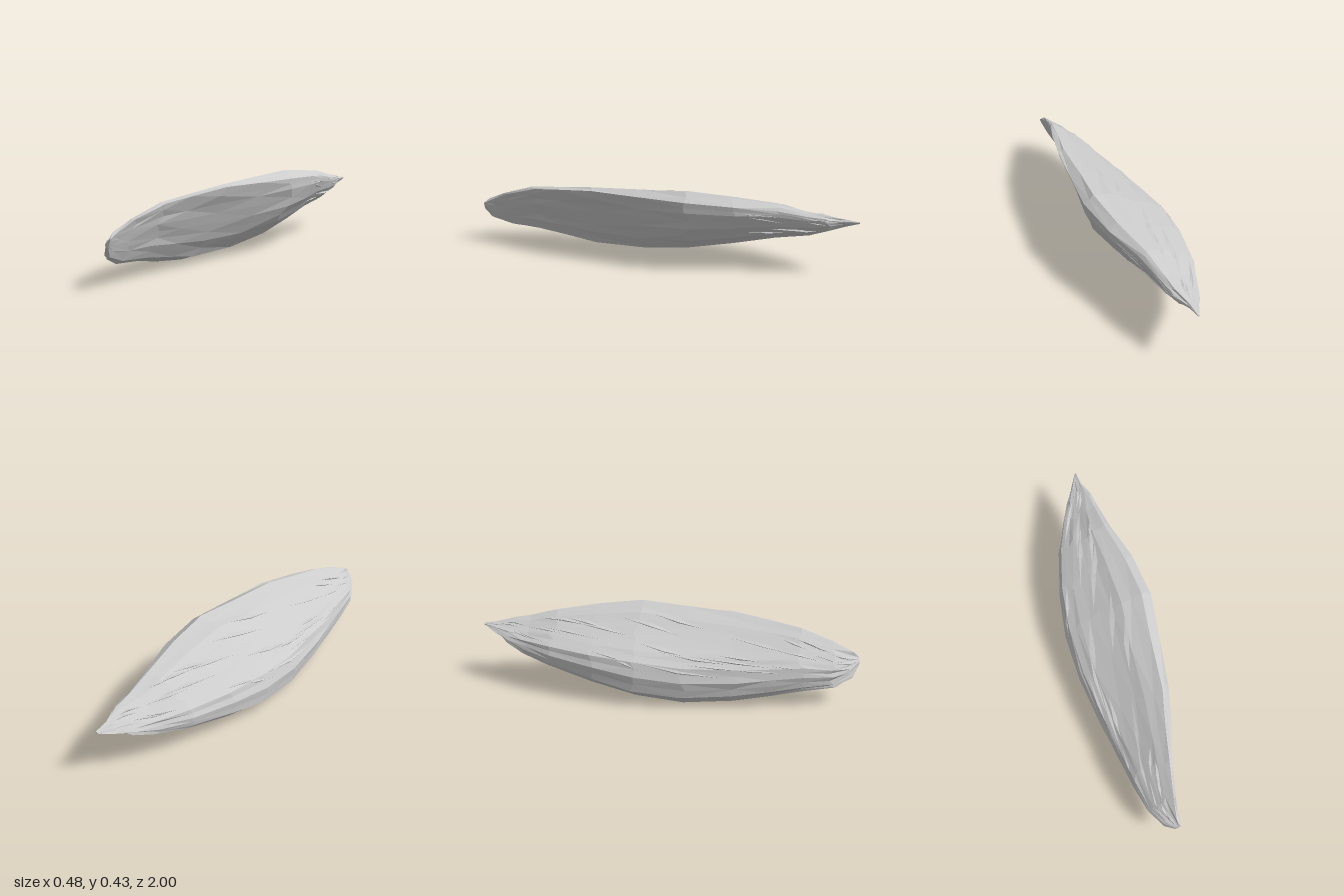
import * as THREE from 'three';

// Small seeded generator for the chipped surface
function seeded(seed) {
  let s = seed;
  return () => ((s = (s * 16807) % 2147483647) / 2147483647);
}

// Stations along the length: z, xMin, xMax, yMin, yMax
const stations = [
  [1.0, -0.05, -0.02, 0.195, 0.235],
  [0.95, -0.095, -0.015, 0.135, 0.268],
  [0.86, -0.14, 0.0, 0.09, 0.305],
  [0.7, -0.17, 0.045, 0.07, 0.36],
  [0.55, -0.19, 0.09, 0.04, 0.38],
  [0.36, -0.215, 0.15, 0.01, 0.405],
  [0.1, -0.24, 0.195, 0.0, 0.42],
  [-0.15, -0.235, 0.24, 0.03, 0.433],
  [-0.38, -0.195, 0.225, 0.085, 0.41],
  [-0.6, -0.12, 0.18, 0.14, 0.38],
  [-0.75, -0.045, 0.162, 0.18, 0.345],
  [-0.84, 0.01, 0.153, 0.22, 0.33],
  [-0.92, 0.06, 0.125, 0.26, 0.31],
  [-1.0, 0.11, 0.12, 0.29, 0.3],
];

// Slanted blade sections in a unit box, counterclockwise seen from the front
const middleSection = [
  [0, 0.33], [0.015, 0.13], [0.12, 0.025], [0.25, 0], [0.62, 0.13], [0.79, 0.31], [0.92, 0.52],
  [0.99, 0.76], [1, 0.9], [0.89, 1], [0.66, 0.92], [0.42, 0.75], [0.19, 0.61], [0.06, 0.51],
];
// Flat lower right face ending in one sharp upper corner
const frontSection = [
  [0, 0.33], [0.02, 0.14], [0.1, 0.045], [0.25, 0], [0.51, 0.08], [0.66, 0.29], [0.78, 0.52],
  [0.9, 0.77], [1, 0.98], [0.9, 1], [0.64, 0.88], [0.42, 0.74], [0.19, 0.6], [0.06, 0.49],
];
const SIDES = middleSection.length;
const lerp = THREE.MathUtils.lerp;

// Point of the plain blade at station t and section corner s, both fractional
function bladePoint(t, s) {
  const i = Math.min(Math.floor(t), stations.length - 2);
  const [z, x0, x1, y0, y1] = stations[i].map((v, k) => lerp(v, stations[i + 1][k], t - i));
  const w = THREE.MathUtils.smoothstep(z, -0.15, 0.36);
  const j = Math.floor(s);
  const [u, v] = [0, 1].map((k) => {
    const corner = (c) => lerp(middleSection[c % SIDES][k], frontSection[c % SIDES][k], w);
    return lerp(corner(j), corner(j + 1), s - j);
  });
  return new THREE.Vector3(lerp(x0, x1, u), lerp(y0, y1, v), z);
}

function bodyGeometry() {
  const rand = seeded(77);
  const n = SIDES * 2;
  const last = stations.length - 1;
  const positions = [];
  const index = [];

  for (let i = 0; i <= last; i++) {
    const [, x0, x1, y0, y1] = stations[i];
    for (let j = 0; j < n; j++) {
      const p = bladePoint(i, j / 2);
      if (i > 0 && i < last) {
        // Shallow dents between the corners, uneven along the length
        const dent = j % 2 ? (j > 18 ? 0.025 : 0.01) * rand() : 0;
        p.x = lerp(p.x, (x0 + x1) / 2, dent);
        p.y = lerp(p.y, (y0 + y1) / 2, dent);
        p.z += (rand() - 0.5) * 0.04;
      }
      positions.push(p.x, p.y, p.z);
    }
  }

  // Skin between neighbouring sections, alternating the diagonals
  for (let i = 0; i < last; i++) {
    for (let j = 0; j < n; j++) {
      const k = (j + 1) % n;
      const a = i * n + j, b = i * n + k, c = b + n, d = a + n;
      if ((i + j) % 2) index.push(a, d, b, b, d, c);
      else index.push(a, d, c, a, c, b);
    }
  }

  // Close both tips
  const end = last * n;
  for (let j = 1; j < n - 1; j++) {
    index.push(0, j, j + 1, end, end + j + 1, end + j);
  }
  return makeGeometry(positions, index);
}

// Long thin splinters lying obliquely on one face, steep on one side
function splinterGeometry(count, firstStation, firstSide, sideSpan, outward, seed) {
  const rand = seeded(seed);
  const positions = [];
  const index = [];
  for (let i = 0; i < count; i++) {
    const t = lerp(firstStation, 10.6, (i + rand()) / count);
    const length = 0.9 + rand() * 0.9;
    const s = firstSide + rand() * sideSpan;
    const drift = 0.2 + rand() * 0.2;
    const front = bladePoint(t, s + drift);
    const back = bladePoint(t + length, s - drift);
    const near = bladePoint(t + length * 0.5, s - 0.15);
    const far = bladePoint(t + length * 0.5, s + 0.08);
    const crest = far.clone().addScaledVector(outward, 0.004 + rand() * 0.005);
    const base = i * 5;
    for (const p of [front, back, near, far, crest]) positions.push(p.x, p.y, p.z);
    index.push(base, base + 4, base + 2, base + 2, base + 4, base + 1);
    index.push(base, base + 3, base + 4, base + 4, base + 3, base + 1);
  }
  return makeGeometry(positions, index);
}

function makeGeometry(positions, index) {
  const geometry = new THREE.BufferGeometry();
  geometry.setAttribute('position', new THREE.Float32BufferAttribute(positions, 3));
  geometry.setIndex(index);
  geometry.computeVertexNormals();
  return geometry;
}

export function createModel() {
  const group = new THREE.Group();
  group.name = 'rockShard';
  const stone = new THREE.MeshStandardMaterial({ color: 0xcccccc, flatShading: true, side: THREE.DoubleSide });
  const add = (name, geometry) => {
    const mesh = new THREE.Mesh(geometry, stone);
    mesh.name = name;
    group.add(mesh);
  };

  const upward = new THREE.Vector3(-0.55, 0.83, 0);
  add('shardBody', bodyGeometry());
  add('upperSplinters', splinterGeometry(30, 0.9, 10, 3.3, upward, 11));
  add('tailSplinters', splinterGeometry(8, 7.5, 5, 2.5, upward.clone().negate(), 29));
  return group;
}
